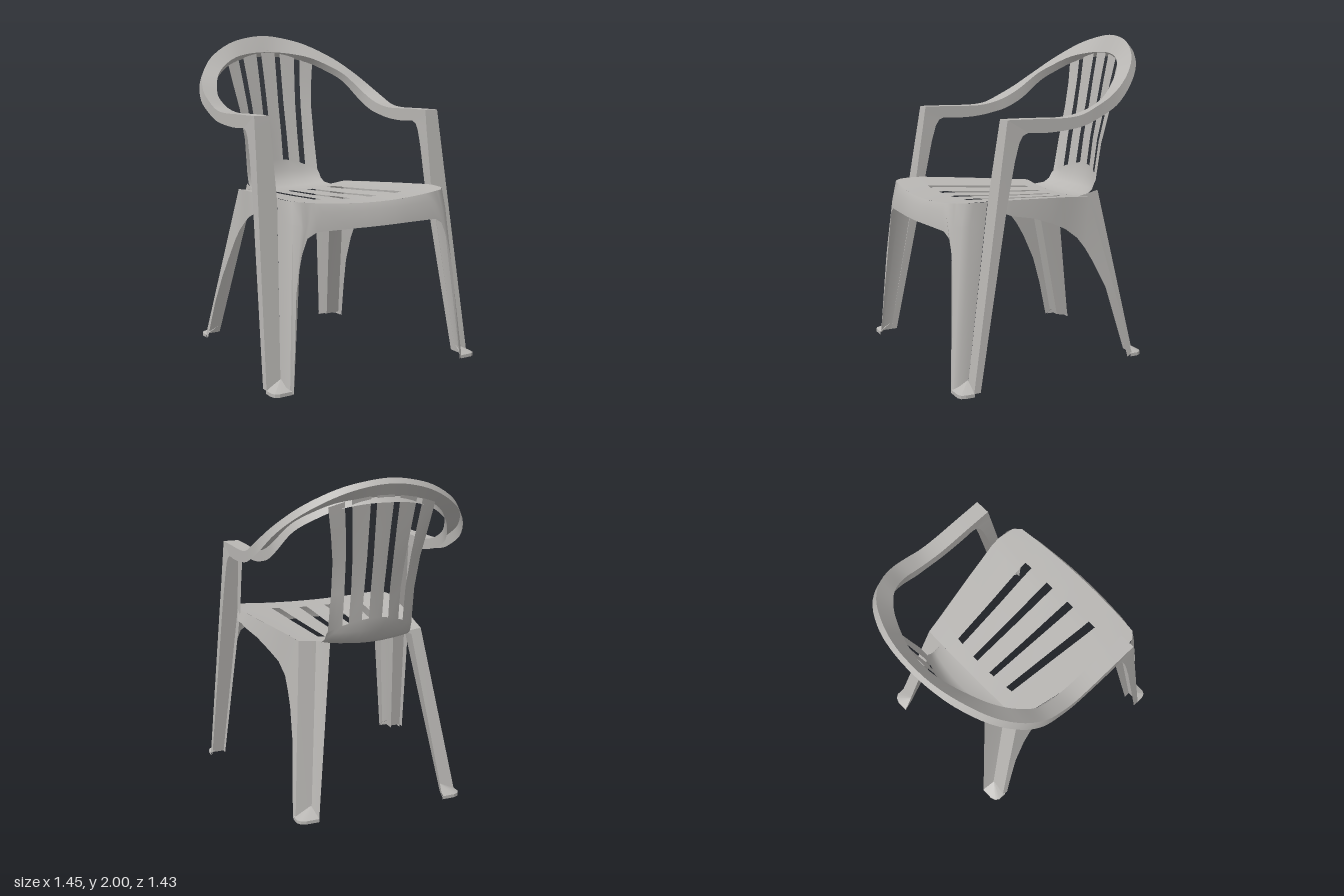
import * as THREE from 'three';
import { toCreasedNormals } from 'three/addons/utils/BufferGeometryUtils.js';

const plastic = new THREE.MeshStandardMaterial({ color: 0xb8b6b3, side: THREE.DoubleSide });
plastic.name = 'grey plastic';

const V = (p) => new THREE.Vector3(...p);
const lerp = (a, b, t) => a.map((v, i) => v + (b[i] - v) * t);
const mirror = (p) => [-p[0], p[1], p[2]];
const add = (a, b, c) => a.map((v, i) => v + b[i] - c[i]);

// Sheet through rows of points; skip(row, column) leaves a hole
function sheet(name, rows, skip = () => false, crease = 0.6) {
  const n = rows[0].length, index = [];
  for (let r = 0; r < rows.length - 1; r++) {
    for (let c = 0; c < n - 1; c++) {
      if (skip(r, c)) continue;
      const a = r * n + c, b = a + n;
      index.push(a, b, a + 1, a + 1, b, b + 1);
    }
  }
  const g = new THREE.BufferGeometry();
  g.setAttribute('position', new THREE.Float32BufferAttribute(rows.flat(2), 3));
  g.setIndex(index);
  const mesh = new THREE.Mesh(toCreasedNormals(g, crease), plastic);
  mesh.name = name;
  return mesh;
}

// Slotted panel: each row is [zMid, yMid, zEdge, yEdge, halfWidth, four slot edges, open]
function slottedPanel(name, rows) {
  const points = rows.map(([zc, yc, ze, ye, w, a, b, c, d]) => {
    const half = [a, b, c, d, (d + w) / 2, w];
    const xs = [...half.map((x) => -x).reverse(), 0, ...half];
    return xs.map((x) => {
      const k = (x / w) ** 2;
      return [x, yc + (ye - yc) * k, zc + (ze - zc) * k];
    });
  });
  return sheet(name, points, (r, c) => rows[r][9] && [2, 4, 7, 9].includes(c), 0.8);
}

export function createModel() {
  const chair = new THREE.Group();
  chair.name = 'gardenChair';
  const pair = (name, rows, crease) => {
    chair.add(sheet('left' + name, rows, undefined, crease));
    chair.add(sheet('right' + name, rows.map((r) => r.map(mirror)), undefined, crease));
  };

  // Dished seat with four slots
  chair.add(slottedPanel('seat', [
    [0.66, 1.03, 0.62, 1.06, 0.5, 0.068, 0.125, 0.27, 0.32, 0],
    [0.61, 1.03, 0.575, 1.065, 0.54, 0.067, 0.122, 0.265, 0.318, 0],
    [0.475, 1.03, 0.465, 1.068, 0.555, 0.066, 0.12, 0.26, 0.315, 1],
    [0.4, 1.028, 0.4, 1.065, 0.55, 0.065, 0.118, 0.255, 0.309, 1],
    [0.14, 1.01, 0.14, 1.05, 0.497, 0.061, 0.106, 0.23, 0.28, 1],
    [-0.21, 0.995, -0.17, 1.028, 0.43, 0.055, 0.093, 0.2, 0.245, 0],
    [-0.3, 0.99, -0.3, 1.02, 0.405, 0.05, 0.09, 0.19, 0.235, 0],
  ]));

  // Seat curving up into five slats
  chair.add(slottedPanel('backrest', [
    [-0.3, 0.99, -0.3, 1.006, 0.295, 0.05, 0.09, 0.19, 0.235, 0],
    [-0.4, 0.995, -0.365, 1.015, 0.285, 0.047, 0.088, 0.18, 0.22, 0],
    [-0.455, 1.03, -0.4, 1.04, 0.28, 0.045, 0.086, 0.17, 0.21, 0],
    [-0.49, 1.09, -0.42, 1.08, 0.275, 0.043, 0.085, 0.163, 0.2, 0],
    [-0.505, 1.17, -0.43, 1.09, 0.272, 0.042, 0.085, 0.16, 0.195, 1],
    [-0.53, 1.35, -0.47, 1.32, 0.267, 0.042, 0.082, 0.158, 0.195, 1],
    [-0.57, 1.55, -0.52, 1.52, 0.277, 0.044, 0.083, 0.168, 0.205, 1],
    [-0.6, 1.72, -0.56, 1.68, 0.302, 0.048, 0.086, 0.182, 0.22, 1],
    [-0.635, 1.9, -0.59, 1.84, 0.33, 0.053, 0.09, 0.2, 0.24, 0],
  ]));

  // Channel section: inner flange, face, outer flange
  const channel = ([inner, outer, flange]) => [add(inner, flange, outer), inner, outer, flange];

  // Arm and back loop, as [inner edge, outer edge, flange edge]
  const arm = [
    [[0.56, 1.53, 0.38], [0.655, 1.53, 0.38], [0.655, 1.455, 0.25]],
    [[0.56, 1.53, 0.2], [0.655, 1.53, 0.2], [0.655, 1.45, 0.15]],
    [[0.56, 1.528, 0], [0.655, 1.53, 0], [0.655, 1.46, 0]],
    [[0.56, 1.545, -0.11], [0.655, 1.545, -0.1], [0.655, 1.48, -0.11]],
    [[0.557, 1.575, -0.2], [0.652, 1.59, -0.2], [0.652, 1.52, -0.21]],
    [[0.545, 1.63, -0.3], [0.638, 1.65, -0.31], [0.64, 1.59, -0.34]],
    [[0.48, 1.74, -0.42], [0.585, 1.74, -0.43], [0.59, 1.695, -0.46]],
    [[0.39, 1.805, -0.5], [0.47, 1.85, -0.55], [0.475, 1.81, -0.58]],
    [[0.28, 1.855, -0.56], [0.29, 1.945, -0.64], [0.295, 1.91, -0.67]],
    [[0.14, 1.882, -0.61], [0.14, 1.985, -0.68], [0.143, 1.955, -0.705]],
    [[0, 1.89, -0.63], [0, 2, -0.69], [0, 1.97, -0.715]],
  ].map(channel);
  const loop = [...arm, ...arm.slice(0, -1).reverse().map((s) => s.map(mirror))];
  const lines = [0, 1, 2, 3].map((k) => new THREE.CatmullRomCurve3(loop.map((s) => V(s[k]))));
  const steps = (loop.length - 1) * 4;
  chair.add(sheet('armAndBackLoop', Array.from({ length: steps + 1 },
    (_, i) => lines.map((l) => l.getPoint(i / steps).toArray()))));

  // Struts from the front feet up to the arms
  pair('FrontStrut', [
    [[0.635, 0.02, 0.625], [0.725, 0.02, 0.625], [0.725, 0.02, 0.585]],
    [[0.555, 1.05, 0.458], [0.677, 1.05, 0.458], [0.677, 1.05, 0.395]],
    [[0.557, 1.3, 0.418], [0.665, 1.3, 0.418], [0.665, 1.3, 0.34]],
    [[0.558, 1.42, 0.398], [0.66, 1.42, 0.398], [0.66, 1.4, 0.31]],
    [[0.56, 1.49, 0.387], [0.657, 1.49, 0.387], [0.657, 1.44, 0.285]],
    [[0.56, 1.53, 0.38], [0.655, 1.53, 0.38], [0.655, 1.455, 0.25]],
  ].map(channel));

  // Front skirt flowing down into the front legs, as [top, bottom]
  const rim = (x) => [x, 1.03 + 0.12 * x * x, 0.66 - 0.16 * x * x];
  const skirt = [
    [[0.555, 1.066, 0.458], [0.635, 0.02, 0.625]],
    [[0.552, 1.066, 0.54], [0.632, 0.02, 0.68]],
    [[0.535, 1.064, 0.585], [0.62, 0.01, 0.705]],
    [rim(0.495), [0.6, 0, 0.712]],
    [rim(0.47), [0.56, 0.55, 0.675]],
    [rim(0.45), [0.54, 0.67, 0.668]],
    [rim(0.43), [0.515, 0.77, 0.662]],
    [rim(0.4), [0.48, 0.86, 0.662]],
    [rim(0.36), [0.42, 0.892, 0.669]],
    [rim(0.2), [0.2, 0.895, 0.69]],
    [rim(0.1), [0.1, 0.895, 0.698]],
    [rim(0), [0, 0.895, 0.7]],
  ].map(([top, bottom], i) => {
    const bulge = i < 1 ? 0 : 0.012;
    const mid = lerp(top, bottom, i < 4 ? 0.12 : 0.3);
    return [top, [mid[0], mid[1], mid[2] + bulge], bottom];
  });
  chair.add(sheet('frontSkirtAndLegs',
    [...skirt, ...skirt.slice(0, -1).reverse().map((s) => s.map(mirror))], undefined, 0.7));

  // Side aprons sweeping back into the rear legs
  const legCorner = (y) => lerp([0.405, 1.02, -0.3], [0.53, 0.02, -0.555], (1.02 - y) / 1);
  pair('SideApron', [
    [[0.555, 1.066, 0.458], [0.57, 0.995, 0.41]],
    [[0.54, 1.062, 0.35], [0.562, 0.99, 0.35]],
    [[0.529, 1.058, 0.3], [0.55, 0.97, 0.3]],
    [[0.5, 1.05, 0.15], [0.52, 0.94, 0.15]],
    [[0.468, 1.041, 0], [0.49, 0.89, 0]],
    [[0.447, 1.035, -0.1], [0.465, 0.845, -0.1]],
    [[0.426, 1.027, -0.2], [0.456, 0.78, -0.19]],
    [legCorner(1.02), [0.46, 0.71, -0.245]],
    [legCorner(0.75), [0.465, 0.62, -0.3]],
    [legCorner(0.5), [0.485, 0.44, -0.39]],
    [legCorner(0.27), [0.51, 0.25, -0.455]],
    [legCorner(0.02), [0.535, 0, -0.52]],
  ]);

  // Rear legs: angled channel open to the outside
  pair('RearLeg', [
    [[0.265, 1.03, -0.45], [0.295, 1.006, -0.3], [0.405, 1.02, -0.3]],
    [[0.41, 0.01, -0.63], [0.43, 0.02, -0.555], [0.53, 0.02, -0.555]],
  ], 0.3);

  // Foot pads sloping out of each channel
  const foot = (name, apex, outline) => pair(name, [
    outline.map(() => apex),
    outline.map(([x, z]) => [x, 0.02, z]),
    outline.map(([x, z]) => [x, 0, z]),
  ], 0.3);
  foot('FrontFoot', [0.632, 0.07, 0.622],
    [[0.725, 0.62], [0.725, 0.675], [0.715, 0.7], [0.69, 0.712], [0.61, 0.712]]);
  foot('RearFoot', [0.428, 0.07, -0.545],
    [[0.41, -0.632], [0.49, -0.632], [0.52, -0.62], [0.537, -0.595], [0.537, -0.54]]);

  return chair;
}
